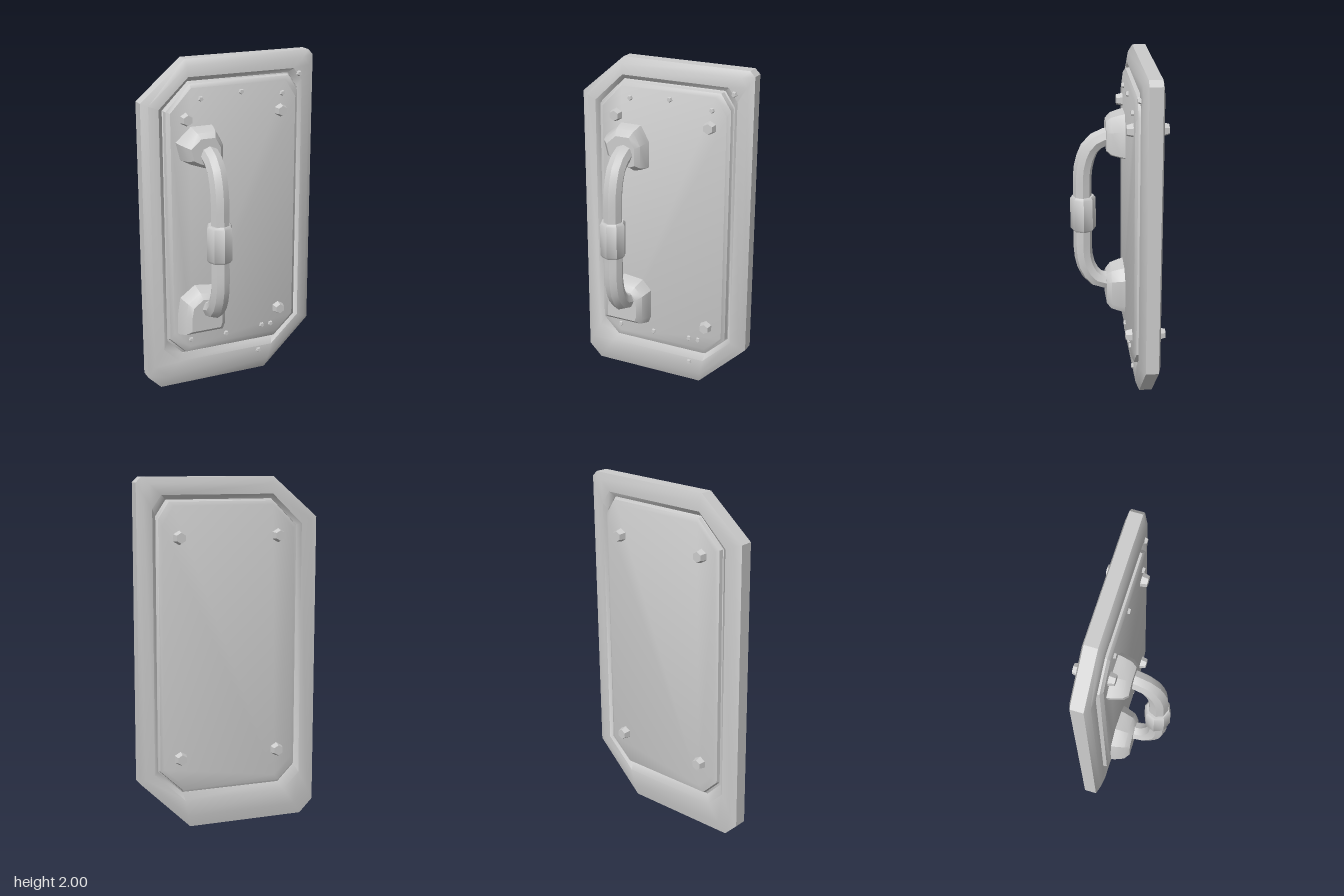
import * as THREE from 'three';
import { toCreasedNormals } from 'three/addons/utils/BufferGeometryUtils.js';

// Eight-cornered outlines, counter-clockwise seen from the front
const OUTER = [[-.46, 0], [.235, 0], [.535, .29], [.535, 1.97], [.505, 2], [-.27, 2], [-.54, 1.77], [-.54, .08]];
const INNER = [[-.31, .22], [.28, .22], [.42, .35], [.42, 1.78], [.36, 1.87], [-.26, 1.87], [-.41, 1.72], [-.41, .32]];

// Outline blended from OUTER (t = 0) to INNER (t = 1) and beyond, at depth z
const ring = (t, z) => OUTER.map(([x, y], i) => [x + (INNER[i][0] - x) * t, y + (INNER[i][1] - y) * t, z]);

// Outline scaled about a centre, at depth z
const scaled = (pts, cx, cy, s, z) => pts.map(([x, y]) => [cx + (x - cx) * s, cy + (y - cy) * s, z]);

// Skin over rings ordered back to front; closed joins last to first
function loft(rings, closed = false) {
  const pos = [];
  const n = rings[0].length;
  const tri = (a, b, c) => pos.push(...a, ...b, ...c);
  const spans = closed ? rings.length : rings.length - 1;
  for (let i = 0; i < spans; i++) {
    const lo = rings[i], hi = rings[(i + 1) % rings.length];
    for (let j = 0; j < n; j++) {
      const k = (j + 1) % n;
      tri(lo[j], lo[k], hi[k]);
      tri(lo[j], hi[k], hi[j]);
    }
  }
  if (!closed) {
    const back = rings[0], front = rings[rings.length - 1];
    for (let j = 1; j < n - 1; j++) {
      tri(back[0], back[j + 1], back[j]);
      tri(front[0], front[j], front[j + 1]);
    }
  }
  const g = new THREE.BufferGeometry();
  g.setAttribute('position', new THREE.Float32BufferAttribute(pos, 3));
  return g;
}

export function createModel() {
  const model = new THREE.Group();
  model.name = 'doorWithHandle';
  const metal = new THREE.MeshStandardMaterial({ color: 0xcccccc });
  metal.name = 'grey metal';

  const add = (name, geometry, x = 0, y = 0, z = 0) => {
    const mesh = new THREE.Mesh(toCreasedNormals(geometry, .6), metal);
    mesh.name = name;
    mesh.position.set(x, y, z);
    model.add(mesh);
    return mesh;
  };

  // Bevelled frame with a rounded front and back
  add('frame', loft([
    ring(0, -.195), ring(0, -.12), ring(.3, -.095), ring(.75, -.088),
    ring(.95, -.11), ring(.95, -.19), ring(.75, -.21), ring(.3, -.207),
  ], true));

  // Raised panel, set off from the frame by a shallow groove
  add('panel', loft([
    ring(1.2, -.222), ring(1.03, -.212), ring(1, -.19), ring(.94, -.185),
    ring(.94, -.115), ring(1, -.11), ring(1.03, -.08), ring(1.2, -.065),
  ]));

  // Handle mounts
  const upper = [[-.27, 1.41], [-.13, 1.36], [-.085, 1.38], [-.085, 1.53], [-.135, 1.62], [-.26, 1.62], [-.35, 1.54], [-.325, 1.44]];
  const lower = [[-.36, .37], [-.09, .37], [-.075, .41], [-.075, .58], [-.13, .64], [-.25, .655], [-.34, .59], [-.355, .5]];
  for (const [name, pts, cx, cy] of [['upperMount', upper, -.2, 1.48], ['lowerMount', lower, -.215, .49]]) {
    add(name, loft([
      scaled(pts, cx, cy, 1.08, -.1), scaled(pts, cx, cy, 1, -.04),
      scaled(pts, cx, cy, .88, .015), scaled(pts, cx, cy, .68, .043),
    ]));
  }

  // Bent pull handle
  const path = new THREE.CatmullRomCurve3([
    [1.48, -.01], [1.47, .06], [1.42, .13], [1.3, .175], [1.1, .183],
    [.9, .183], [.72, .18], [.62, .15], [.555, .09], [.54, -.01],
  ].map(([y, z]) => new THREE.Vector3(-.19, y, z)));
  add('handle', new THREE.TubeGeometry(path, 20, .056, 8, false));

  // Thick grip with bevelled rims
  const grip = [[0, -.11], [.066, -.11], [.077, -.095], [.077, .095], [.066, .11], [0, .11]];
  add('grip', new THREE.LatheGeometry(grip.map(([r, y]) => new THREE.Vector2(r, y)), 8), -.194, 1, .18);

  // Tapered bolts on both faces
  const bolt = new THREE.CylinderGeometry(.03, .043, .05, 6).rotateX(Math.PI / 2);
  for (const [x, y] of [[-.29, 1.67], [.3, 1.67], [-.29, .42], [.3, .42]]) {
    add('frontBolt', bolt, x, y, -.053);
    add('backBolt', bolt, x, y, -.235).rotation.y = Math.PI;
  }

  // Small rivets scattered along the front edge
  const rivet = new THREE.CylinderGeometry(.013, .02, .024, 5).rotateX(Math.PI / 2);
  const rivets = [[-.2, 1.78, -.063], [.05, 1.8, -.063], [.31, 1.77, -.063], [.43, 1.87, -.085],
    [-.28, .31, -.066], [-.05, .31, -.064], [.19, .32, -.064], [.25, .32, -.065], [.18, .14, -.088]];
  for (const p of rivets) add('rivet', rivet, ...p);

  return model;
}
